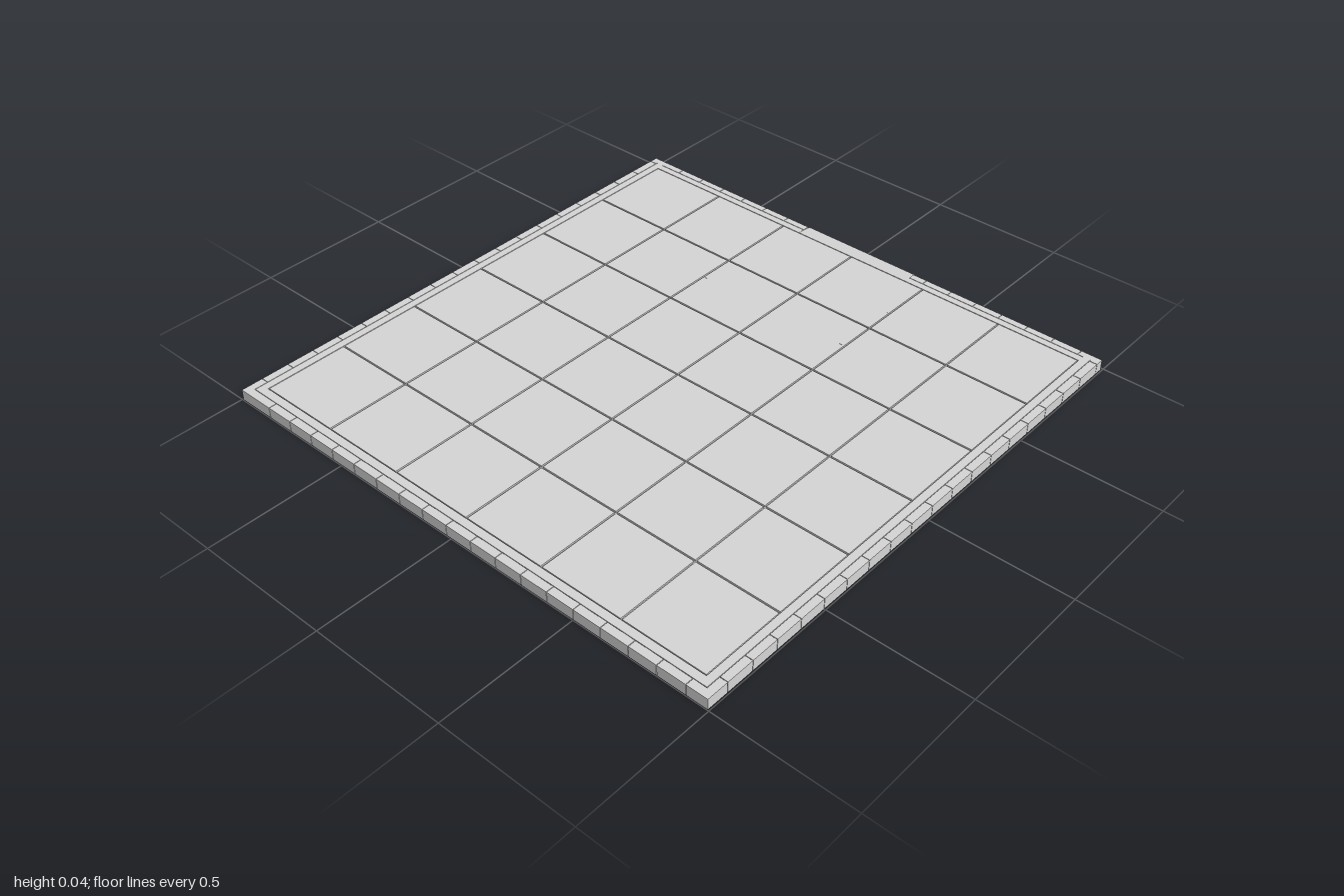
import * as THREE from 'three';

const grey = new THREE.MeshStandardMaterial({ color: 0xd6d6d6, side: THREE.DoubleSide });
grey.name = 'light grey';

const TOP = 0.04;       // height of the floor surface
const BED = 0.034;      // height of the plate the tiles lie on
const CELL = 0.3125;    // floor tile pitch
const BLOCK = CELL / 3; // border block pitch
const SEAM = 0.003;     // half the gap between tiles
const JOINT = 0.001;    // half the gap between border blocks
const SILL = [-0.24, 0.235]; // doorway limits in x

// Box given by its limits on each axis, optionally open underneath
function slab(name, x0, x1, y0, y1, z0, z1, openBottom = false) {
  const g = new THREE.BoxGeometry(x1 - x0, y1 - y0, z1 - z0);
  if (openBottom) {
    const index = Array.from(g.index.array);
    index.splice(18, 6); // drop the downward face
    g.setIndex(index);
    g.clearGroups();
  }
  g.translate((x0 + x1) / 2, (y0 + y1) / 2, (z0 + z1) / 2);
  const m = new THREE.Mesh(g, grey);
  m.name = name;
  return m;
}

// Spans of border blocks between two ends, split at the regular seams
function spans(from, to) {
  const cuts = [from];
  for (let k = 0; k < 20; k++) {
    const c = -0.958 + k * BLOCK;
    if (c > from + 0.02 && c < to - 0.02) cuts.push(c);
  }
  cuts.push(to);
  return cuts.slice(1).map((end, i) => [cuts[i] + (i ? JOINT : 0), end - (end < to ? JOINT : 0)]);
}

export function createModel() {
  const model = new THREE.Group();
  model.name = 'floorPanel';

  // Thin base plate, leaving the underside recessed within the border
  model.add(slab('basePlate', -0.967, 0.967, 0.028, BED, -0.965, 0.969));

  // Six by six floor tiles
  const tiles = new THREE.Group();
  tiles.name = 'floorTiles';
  for (let i = -3; i < 3; i++) {
    for (let j = -3; j < 3; j++) {
      tiles.add(slab('tile', i * CELL + SEAM, (i + 1) * CELL - SEAM, BED, TOP,
        j * CELL + SEAM, (j + 1) * CELL - SEAM));
    }
  }
  model.add(tiles);

  // Flat trim strips around the tiles, interrupted at the doorway
  const trim = new THREE.Group();
  trim.name = 'trim';
  const e = 3 * CELL;
  trim.add(slab('leftTrim', e, 0.965, BED, TOP, -0.965, 0.967));
  trim.add(slab('rightTrim', -0.965, -e, BED, TOP, -0.965, 0.967));
  trim.add(slab('frontTrim', -e, e, BED, TOP, e, 0.967));
  trim.add(slab('backTrim', -e, SILL[0], BED, TOP, -0.963, -e));
  trim.add(slab('backTrim', SILL[1], e, BED, TOP, -0.963, -e));
  model.add(trim);

  // Border of short blocks, open underneath
  const border = new THREE.Group();
  border.name = 'border';
  for (const [a, b] of spans(-0.99, 0.998)) {
    border.add(slab('leftBlock', 0.967, 0.995, 0, TOP, a, b, true));
    border.add(slab('rightBlock', -0.995, -0.967, 0, TOP, a, b, true));
  }
  for (const [a, b] of spans(-0.967, 0.967)) {
    border.add(slab('frontBlock', a, b, 0, TOP, 0.969, 0.998, true));
  }
  for (const [from, to] of [[-0.967, SILL[0]], [SILL[1], 0.967]]) {
    for (const [a, b] of spans(from, to)) {
      border.add(slab('backBlock', a, b, 0, TOP, -0.99, -0.965, true));
    }
  }
  model.add(border);

  // Door sill: a gentle ramp with a lip, filling the opening in the back border
  const profile = new THREE.Shape([
    [-e, TOP], [-1, BED], [-1, 0], [-0.996, 0], [-0.996, 0.028], [-e, 0.03],
  ].map(([z, y]) => new THREE.Vector2(z, y)));
  const sillGeometry = new THREE.ExtrudeGeometry(profile, { depth: SILL[1] - SILL[0], bevelEnabled: false });
  sillGeometry.rotateY(-Math.PI / 2).translate(SILL[1], 0, 0);
  const sill = new THREE.Mesh(sillGeometry, grey);
  sill.name = 'doorSill';
  model.add(sill);

  // Small fixing plates around the doorway
  for (const s of [-1, 1]) {
    for (const [x, z] of [[0.12, -0.915], [0.298, -0.74], [0.298, -0.49]]) {
      model.add(slab('fixing', s * x - 0.006, s * x + 0.006, TOP, TOP + 0.0004, z - 0.003, z + 0.003));
    }
  }
  return model;
}
